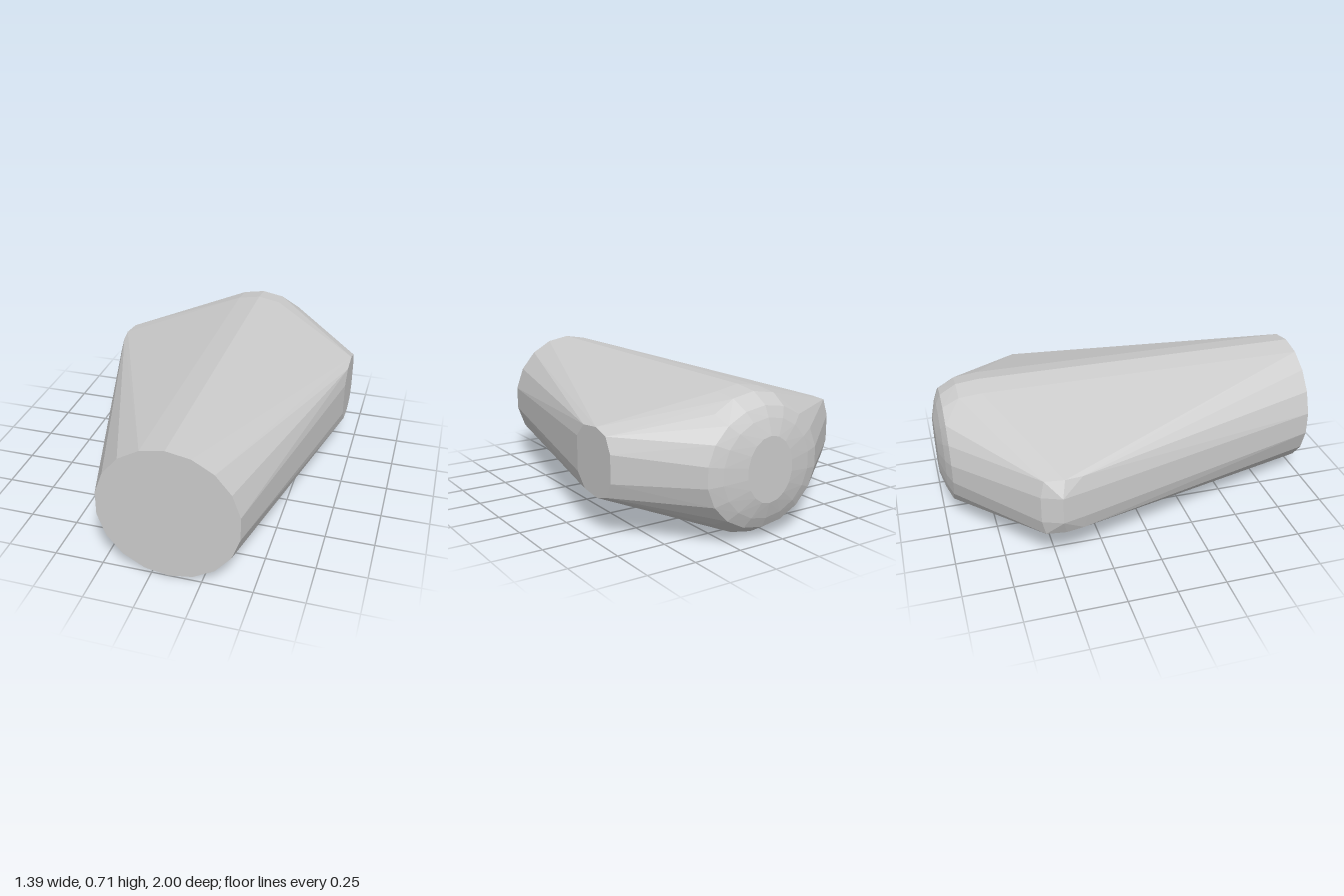
import * as THREE from 'three';
import { ConvexGeometry } from 'three/addons/geometries/ConvexGeometry.js';

const MID_Y = 0.357; // height of the horizontal symmetry plane
const AXIS_X = 0.085; // x of the barrel axis
const SIDES = 18;

// Elliptic ring around the barrel axis at depth z
function ring(z, rx, ry = rx) {
  return Array.from({ length: SIDES }, (_, i) => {
    const a = (i / SIDES) * Math.PI * 2;
    return new THREE.Vector3(AXIS_X + rx * Math.sin(a), MID_Y + ry * Math.cos(a), z);
  });
}

// Points given as [x, height from the mid plane, z], mirrored above and below
function mirrored(list) {
  return list.flatMap(([x, h, z]) => [1, -1].map((s) => new THREE.Vector3(x, MID_Y + s * h, z)));
}

export function createModel() {
  const group = new THREE.Group();
  group.name = 'taperedHull';

  // Flat round front end and domed back end
  const barrel = [
    ...ring(1, 0.355),
    ...ring(-0.745, 0.355),
    ...ring(-0.865, 0.345, 0.342),
    ...ring(-0.95, 0.32, 0.292),
    ...ring(-0.975, 0.25, 0.24),
    ...ring(-1, 0.13, 0.16),
  ];

  // Flat oval facet on the left side
  const leftFacet = mirrored([
    [0.695, 0.09, -0.28],
    [0.695, 0.16, -0.35],
    [0.695, 0.173, -0.47],
    [0.695, 0.147, -0.56],
    [0.695, 0.07, -0.6],
  ]);

  // Blunt chamfered tip on the right side
  const rightTip = mirrored([
    [-0.695, 0.07, -0.48],
    [-0.655, 0.07, -0.58],
    [-0.66, 0.07, -0.35],
    [-0.658, 0.153, -0.46],
    [-0.645, 0.153, -0.56],
    [-0.645, 0.15, -0.37],
  ]);

  // One convex skin stretched over all the sections
  const body = new THREE.Mesh(
    new ConvexGeometry([...barrel, ...leftFacet, ...rightTip]),
    new THREE.MeshStandardMaterial({ color: 0xcccccc, flatShading: true })
  );
  body.name = 'body';
  group.add(body);
  return group;
}
